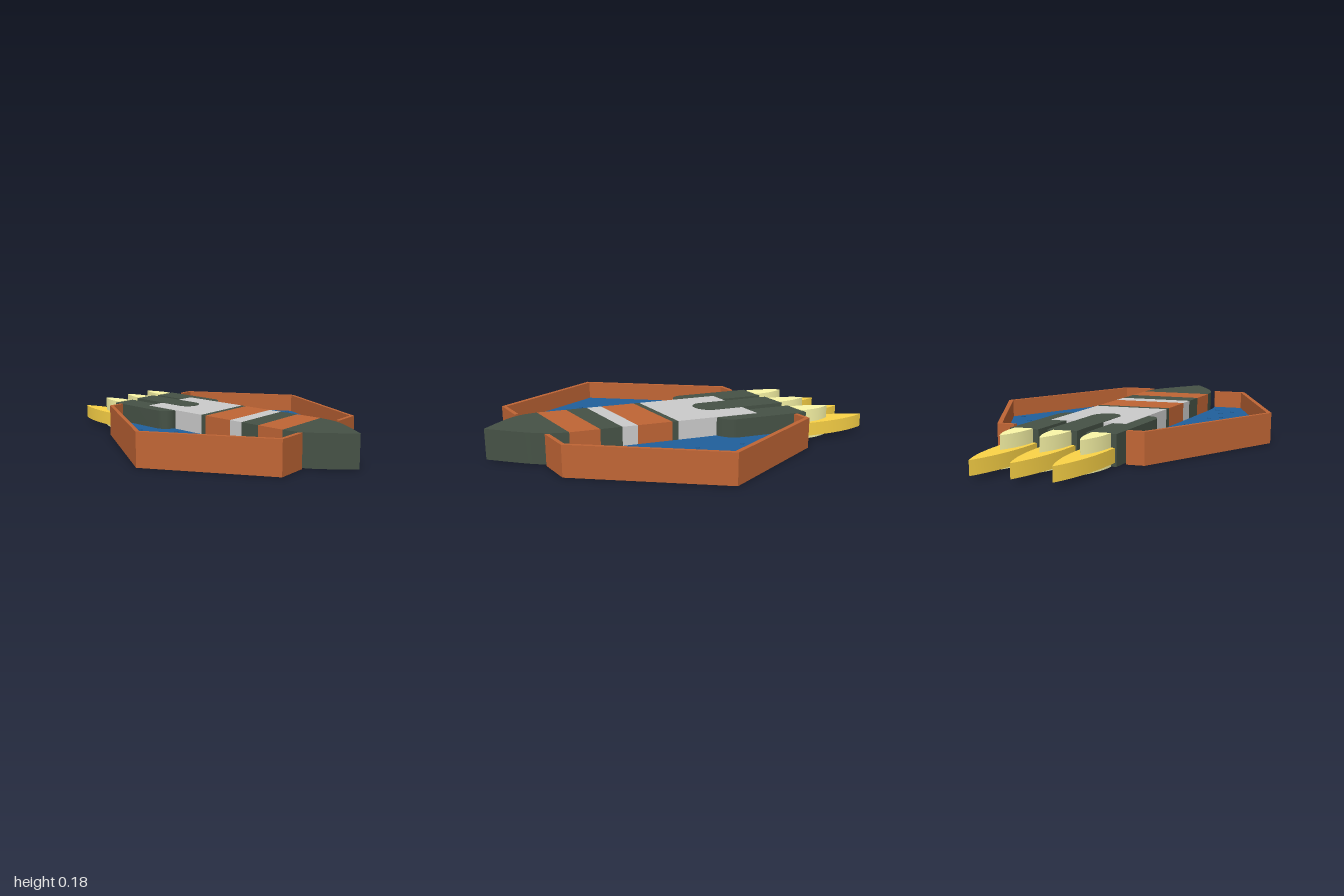
import * as THREE from 'three';
import { toCreasedNormals } from 'three/addons/utils/BufferGeometryUtils.js';

const mat = (color) => new THREE.MeshStandardMaterial({ color });
const ORANGE = mat(0xc06535), DARK = mat(0x465246), GREY = mat(0xcccccc);
const BLUE = mat(0x20609c), YELLOW = mat(0xfcd447), PALE = mat(0xfcf8a8);

// Plan coordinates: s runs forward along the rocket, t sideways.
// The plan is turned 45 degrees and stretched along z.
const A = 0.7071, B = 0.919, T0 = -0.006, H = 0.178;
const PLAN = new THREE.Matrix4().set(
  A, A, 0, A * T0,
  0, 0, 1, 0,
  B, -B, 0, -B * T0,
  0, 0, 0, 1
);

export function createModel() {
  const model = new THREE.Group();

  // Upright slab from a plan outline, between heights y0 and y1
  const slab = (name, points, y0, y1, material) => {
    const shape = new THREE.Shape(points.map(([s, t]) => new THREE.Vector2(s, t)));
    let geo = new THREE.ExtrudeGeometry(shape, { depth: y1 - y0, bevelEnabled: false });
    geo.translate(0, 0, y0);
    geo.applyMatrix4(PLAN);
    geo = toCreasedNormals(geo, 0.45);
    const mesh = new THREE.Mesh(geo, material);
    mesh.name = name;
    model.add(mesh);
  };
  const band = (s0, s1, w) => [[s0, -w], [s1, -w], [s1, w], [s0, w]];
  const arc = (cs, ct, r, a0, a1, n = 16) => Array.from({ length: n + 1 }, (_, i) => {
    const a = a0 + (a1 - a0) * i / n;
    return [cs + r * Math.cos(a), ct + r * Math.sin(a)];
  });

  // Two half-hexagon trays, one each side of the rocket
  const C = 0.131, R = 0.697, RI = 0.674, K = Math.sqrt(3) / 2;
  const sides = { left: 1, right: -1 };
  for (const [side, m] of Object.entries(sides)) {
    const flip = (pts) => pts.map(([s, t]) => [s, t * m]);
    slab(side + 'Rim', flip([
      [C - R * K, 0.265], [C - R * K, R / 2], [C, R], [C + R * K, R / 2], [C + R * K, 0.178],
      [C + RI * K, 0.187], [C + RI * K, RI / 2], [C, RI], [C - RI * K, RI / 2], [C - RI * K, 0.265],
    ]), 0, H, ORANGE);
    slab(side + 'Floor', flip([
      [C - RI * K, 0.268], [C - RI * K, RI / 2], [C, RI], [C + RI * K, RI / 2],
      [C + RI * K, 0.187], [0.66, 0.2], [0.6, 0.203],
      ...arc(-0.17, 0.181, 0.087, 0.255, Math.PI / 2),
    ]), 0.004, 0.075, BLUE);
  }

  // Small round studs scattered over the floors (x, z)
  const studs = [
    [0.09, -0.6], [0.17, -0.43], [0.39, -0.44], [0.53, -0.44], [0.31, -0.22], [0.44, -0.03],
    [0.54, 0.13], [0.48, 0.2], [0.6, 0.23], [-0.48, 0.02], [-0.4, 0.16], [-0.2, 0.23],
    [-0.35, 0.37], [-0.22, 0.34], [-0.08, 0.39], [-0.22, 0.49], [-0.08, 0.48], [0.04, 0.61],
    [-0.16, 0.7], [0.03, 0.69], [-0.03, 0.74], [0.14, 0.75], [0.25, 0.79], [0.15, 0.84],
  ];
  const studGeo = new THREE.CylinderGeometry(0.013, 0.013, 0.012, 12);
  for (const [x, z] of studs) {
    const stud = new THREE.Mesh(studGeo, BLUE);
    stud.name = 'stud';
    stud.position.set(x, 0.074, z);
    model.add(stud);
  }

  // Rocket body in coloured bands
  const W = 0.183;
  const bands = [
    ['bodyRear', -0.31, 0.1, GREY], ['darkBand', 0.1, 0.13, DARK], ['orangeBand', 0.13, 0.3, ORANGE],
    ['greyBand', 0.3, 0.375, GREY], ['darkBand', 0.375, 0.48, DARK], ['orangeBand', 0.48, 0.625, ORANGE],
  ];
  for (const [name, s0, s1, material] of bands) slab(name, band(s0, s1, W), 0, 0.176, material);

  // Pointed nose
  const edge = new THREE.SplineCurve([
    [0.625, W], [0.7, 0.17], [0.77, 0.137], [0.85, 0.077], [0.942, 0],
  ].map(([s, t]) => new THREE.Vector2(s, t))).getPoints(20).map((p) => [p.x, p.y]);
  slab('nose', [...edge, ...edge.slice(0, -1).reverse().map(([s, t]) => [s, -t])], 0, 0.176, DARK);

  // Three boosters, each with an outer and an inner flame
  const flame = (c, base, tip, w, bulge) => {
    const curve = new THREE.QuadraticBezierCurve(
      new THREE.Vector2(base, w), new THREE.Vector2(...bulge), new THREE.Vector2(tip, 0));
    const pts = curve.getPoints(14).map((p) => [p.x, p.y]);
    return [...pts, ...pts.slice(0, -1).reverse().map(([s, t]) => [s, -t])].map(([s, t]) => [s, t + c]);
  };
  for (const k of [-1, 0, 1]) {
    const c = k * 0.181 - 0.004, r = 0.068;
    const outline = [[-0.533, c - r], ...arc(-0.165, c, r, -Math.PI / 2, Math.PI / 2, 24), [-0.533, c + r]];
    slab('booster', outline, 0.003, k === 0 ? H : 0.174, DARK);
    slab('outerFlame', flame(c, -0.53, -0.905, 0.06, [-0.76, 0.07]), 0.024, 0.102, YELLOW);
    slab('innerFlame', flame(c, -0.53, -0.703, 0.042, [-0.63, 0.045]), 0.001, 0.177, PALE);
  }
  return model;
}
